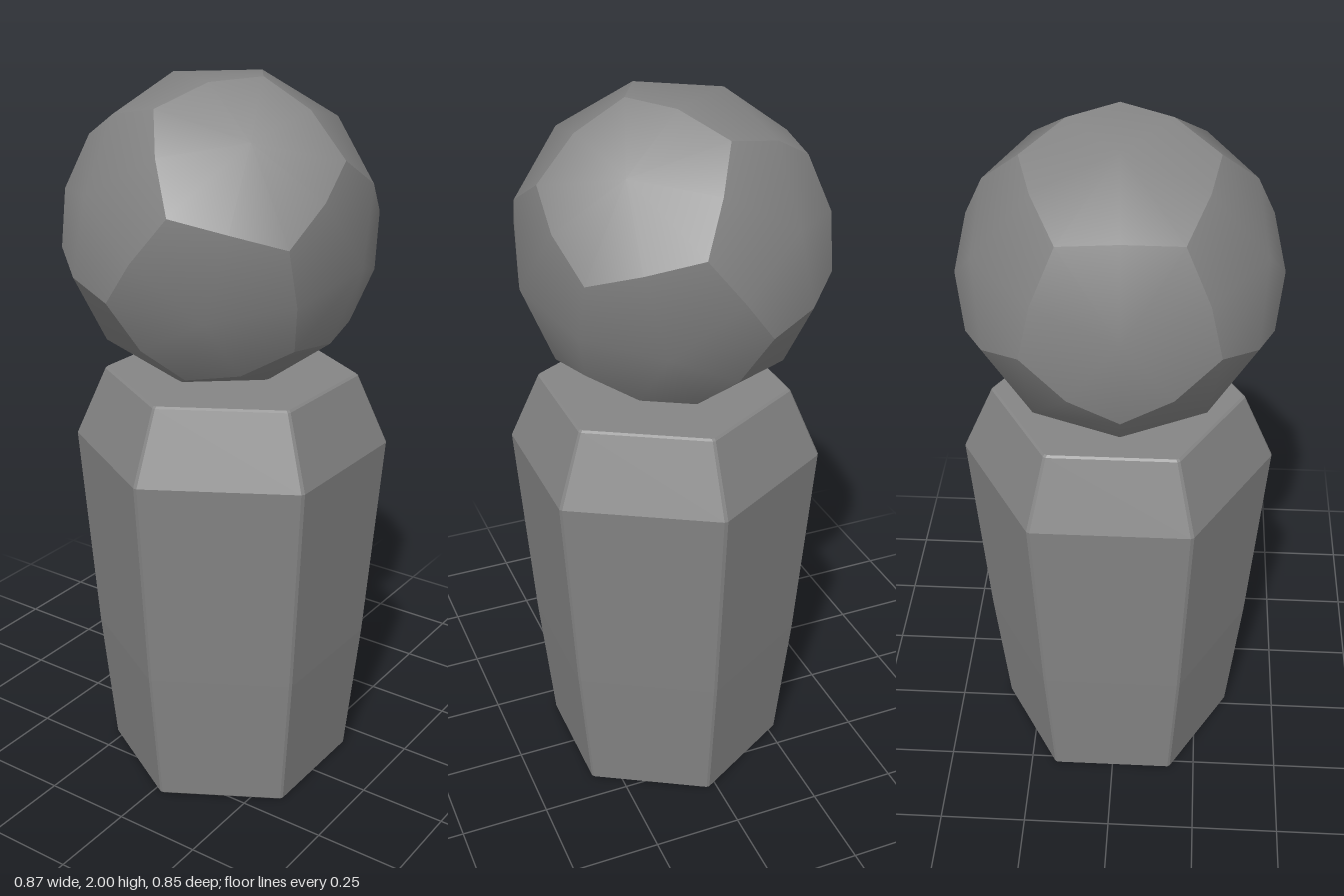
import * as THREE from 'three';
import { mergeGeometries } from 'three/addons/utils/BufferGeometryUtils.js';

const GREY = 0x858585;
const HEAD_RADIUS = 0.426;

// Directions of the twelve pentagon centres: two poles on z and two rings of five
function pentagonCentres() {
  const centres = [new THREE.Vector3(0, 0, 1), new THREE.Vector3(0, 0, -1)];
  const r = 2 / Math.sqrt(5);
  for (let i = 0; i < 5; i++) {
    for (const [start, z] of [[54, r / 2], [90, -r / 2]]) {
      const a = THREE.MathUtils.degToRad(start + 72 * i);
      centres.push(new THREE.Vector3(r * Math.cos(a), r * Math.sin(a), z));
    }
  }
  return centres;
}

// One domed pentagon: a fan from its centre to alternating edge midpoints and
// corners, smooth inside and creased against its neighbours
function domedPentagon(centre, all) {
  const near = all.filter((n) => Math.abs(n.dot(centre) - 1 / Math.sqrt(5)) < 0.01);
  const u = near[0].clone().addScaledVector(centre, -near[0].dot(centre)).normalize();
  const v = new THREE.Vector3().crossVectors(centre, u);
  const angle = (n) => Math.atan2(n.dot(v), n.dot(u));
  near.sort((a, b) => angle(a) - angle(b));

  const points = [centre.clone()];
  near.forEach((n, i) => {
    points.push(centre.clone().add(n));
    points.push(centre.clone().add(n).add(near[(i + 1) % 5]));
  });
  points.forEach((p) => p.setLength(HEAD_RADIUS));

  const index = [];
  for (let i = 0; i < 10; i++) index.push(0, i + 1, ((i + 1) % 10) + 1);
  const geometry = new THREE.BufferGeometry().setFromPoints(points);
  geometry.setIndex(index);
  geometry.computeVertexNormals();
  return geometry;
}

// Hexagonal solid with narrow bevels: a twelve-sided lathe whose columns are
// drawn together in pairs at the six corners
function bevelledHexagon(profile) {
  const points = profile.map(([r, y]) => new THREE.Vector2(r, y));
  const geometry = new THREE.LatheGeometry(points, 12);
  const position = geometry.attributes.position;
  const bevel = THREE.MathUtils.degToRad(0.7);
  const shrink = Math.cos(Math.PI / 6) / Math.cos(Math.PI / 6 - bevel);
  for (let i = 0; i < position.count; i++) {
    const column = Math.floor(i / points.length);
    const corner = Math.PI / 2 + Math.floor(column / 2) * Math.PI / 3;
    const a = corner + (column % 2 ? bevel : -bevel);
    const r = points[i % points.length].x * shrink;
    position.setX(i, r * Math.sin(a));
    position.setZ(i, r * Math.cos(a));
  }
  return geometry;
}

export function createModel() {
  const model = new THREE.Group();
  model.name = 'figure';

  // Six-sided body, widest at the shoulders, with softened rims
  const body = new THREE.Mesh(
    bevelledHexagon([
      [0, 0], [0.344, 0], [0.35, 0.005], [0.391, 0.4], [0.438, 1],
      [0.352, 1.195], [0.345, 1.2], [0, 1.2],
    ]),
    new THREE.MeshStandardMaterial({ color: GREY, flatShading: true })
  );
  body.name = 'body';
  body.position.z = 0.027;
  model.add(body);

  // Ball head of twelve domed pentagons, nodding slightly forward
  const centres = pentagonCentres();
  const head = new THREE.Mesh(
    mergeGeometries(centres.map((c) => domedPentagon(c, centres))),
    new THREE.MeshStandardMaterial({ color: GREY })
  );
  head.name = 'head';
  head.position.set(-0.007, 1.594, 0);
  head.rotation.set(0.11, 0.055, 0, 'YXZ');
  model.add(head);

  return model;
}
